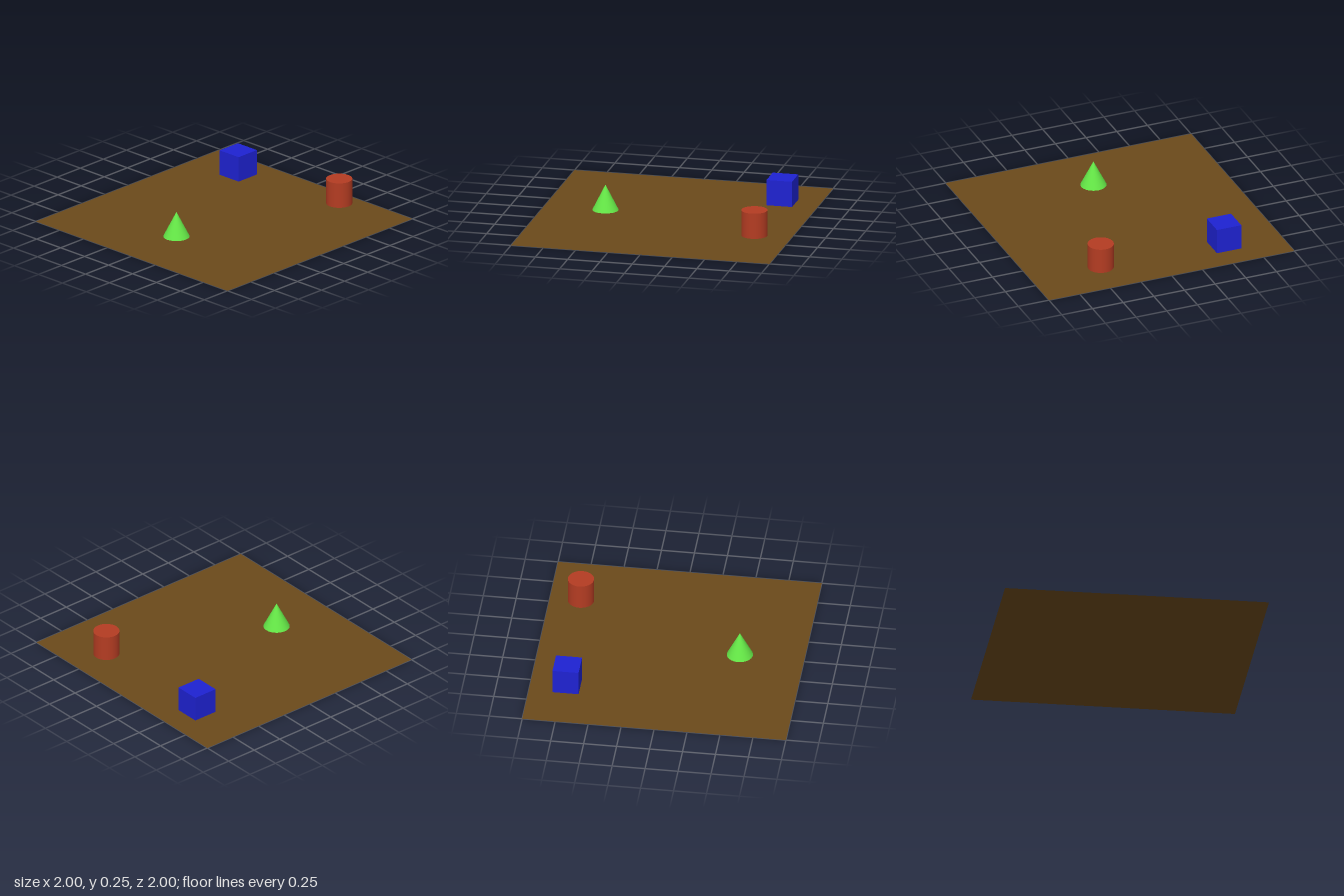
import * as THREE from 'three';

export function createModel() {
  const model = new THREE.Group();

  const add = (name, geometry, color, x, y, z) => {
    const material = new THREE.MeshStandardMaterial({ color });
    const mesh = new THREE.Mesh(geometry, material);
    mesh.name = name;
    mesh.position.set(x, y, z);
    model.add(mesh);
    return mesh;
  };

  // Flat, infinitely thin square ground sheet
  const ground = add('ground', new THREE.PlaneGeometry(2, 2).rotateX(-Math.PI / 2), 0x6b4a1b, 0, 0, 0);
  ground.material.side = THREE.DoubleSide;

  // Three primitives, each hovering slightly above the ground
  add('cube', new THREE.BoxGeometry(0.198, 0.198, 0.198), 0x1e22d2, 0.72, 0.105, -0.545);
  add('cylinder', new THREE.CylinderGeometry(0.099, 0.099, 0.198, 32), 0xb43c22, 0.755, 0.152, 0.475);
  add('cone', new THREE.ConeGeometry(0.099, 0.198, 32), 0x64e646, -0.515, 0.119, 0);

  return model;
}
